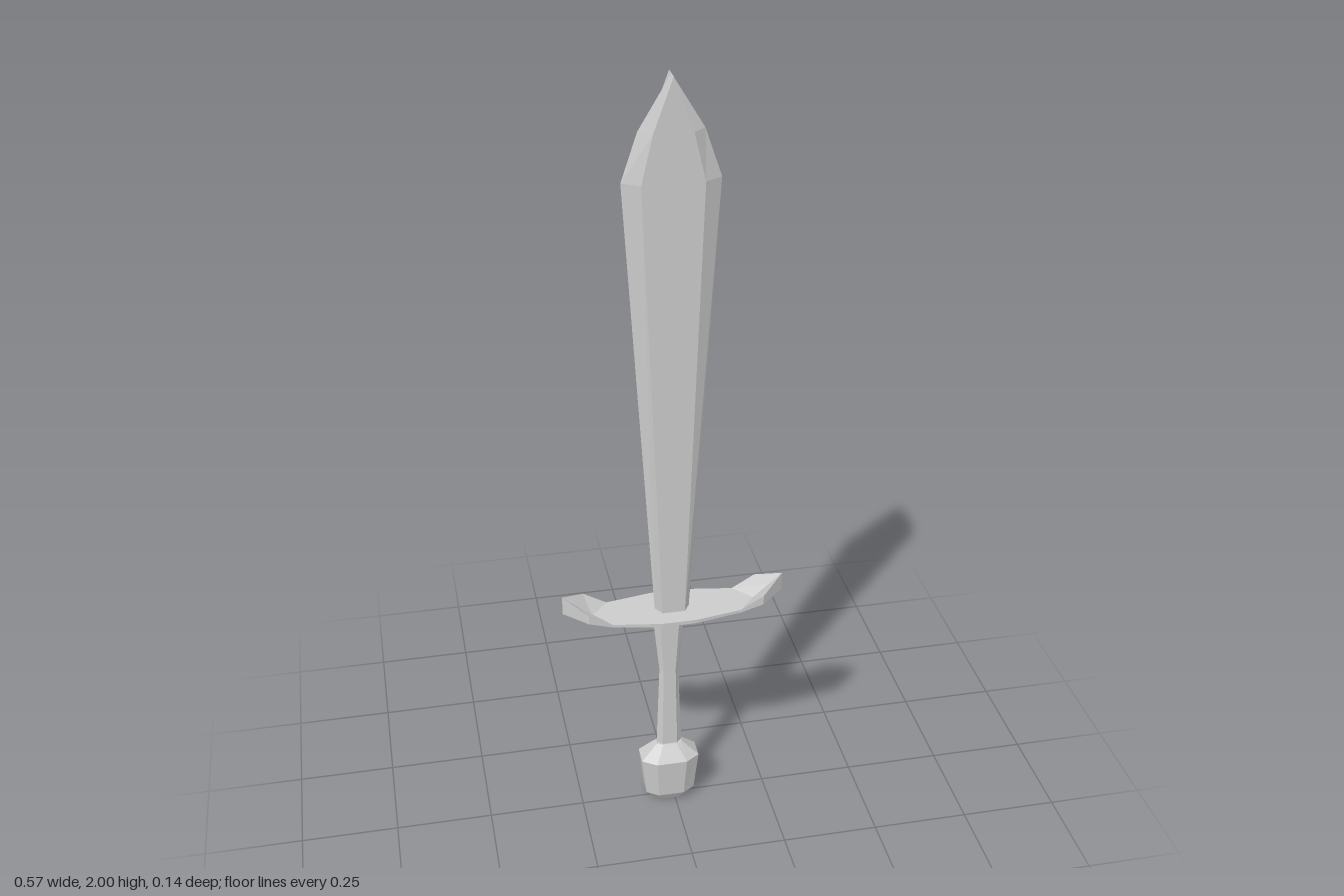
import * as THREE from 'three';

// Skins a list of rings (arrays of [x, y, z], counter-clockwise seen from the far end) and caps both ends.
function loft(name, rings) {
  const positions = [];
  const tri = (...corners) => {
    const [a, b, c] = corners.map((p) => new THREE.Vector3(...p));
    if (new THREE.Triangle(a, b, c).getArea() < 1e-7) return; // skip collapsed faces
    for (const p of corners) positions.push(...p);
  };
  const n = rings[0].length;
  for (let i = 0; i < rings.length - 1; i++) {
    for (let j = 0; j < n; j++) {
      const k = (j + 1) % n;
      tri(rings[i][j], rings[i][k], rings[i + 1][k]);
      tri(rings[i][j], rings[i + 1][k], rings[i + 1][j]);
    }
  }
  const first = rings[0], last = rings[rings.length - 1];
  for (let j = 1; j < n - 1; j++) {
    tri(first[0], first[j + 1], first[j]);
    tri(last[0], last[j], last[j + 1]);
  }
  const geometry = new THREE.BufferGeometry();
  geometry.setAttribute('position', new THREE.Float32BufferAttribute(positions, 3));
  geometry.computeVertexNormals();
  const mesh = new THREE.Mesh(geometry, new THREE.MeshStandardMaterial({ color: 0xcccccc, flatShading: true }));
  mesh.name = name;
  return mesh;
}

// Hexagon with its two sharp edges on the x axis
const hexRing = (cx, y, w, flat, d) => [
  [cx + w, y, 0], [cx + flat, y, -d], [cx - flat, y, -d],
  [cx - w, y, 0], [cx - flat, y, d], [cx + flat, y, d],
];

// Rectangle with chamfered corners
const octRing = (cx, y, w, d) => {
  const a = w * 0.52, b = d * 0.52;
  return [
    [cx + w, y, b], [cx + w, y, -b], [cx + a, y, -d], [cx - a, y, -d],
    [cx - w, y, -b], [cx - w, y, b], [cx - a, y, d], [cx + a, y, d],
  ];
};

// Guard section: x, half depth, top y, rim y, keel half depth, keel y, and x of the top centre
const guardRing = (s, [x, d, top, rim, kd, keel, cx]) => [
  [s * cx, top, 0], [s * x, top, d], [s * x, rim, d], [s * x, keel, kd],
  [s * x, keel, -kd], [s * x, rim, -d], [s * x, top, -d],
];

export function createModel() {
  const sword = new THREE.Group();
  sword.name = 'sword';

  // Blade: widens upward, then closes to a short edge at the tip
  sword.add(loft('blade', [
    [0.59, 0.043, 0.028], [1.76, 0.115, 0.073], [1.875, 0.076, 0.046], [2, 0, 0],
  ].map(([y, w, flat]) => hexRing(-0.004, y, w, flat, 0.026))));

  // Crossguard: flat plate with upswept pointed ends and a tapered underside
  const stations = [
    [0.285, 0, 0.68, 0.63, 0, 0.63, 0.285],
    [0.225, 0.051, 0.65, 0.625, 0.025, 0.616, 0.25],
    [0.165, 0.051, 0.615, 0.607, 0.028, 0.599, 0.21],
    [0.045, 0.071, 0.615, 0.605, 0.033, 0.58, 0.045],
  ];
  sword.add(loft('crossguard', [
    ...stations.map((s) => guardRing(-1, s)),
    ...stations.slice().reverse().map((s) => guardRing(1, s)),
  ]));

  // Grip: waisted, flaring into the guard
  sword.add(loft('grip', [
    [0.17, 0.034, 0.02, 0.014], [0.42, 0.025, 0.016, 0.012], [0.6, 0.043, 0.026, 0.015],
  ].map(([y, w, flat, d]) => hexRing(-0.012, y, w, flat, d))));

  // Pommel: faceted block with bevelled ends
  sword.add(loft('pommel', [
    [0, 0.04, 0.026], [0.027, 0.065, 0.042], [0.14, 0.077, 0.051], [0.18, 0.034, 0.018],
  ].map(([y, w, d]) => octRing(-0.013, y, w, d))));

  return sword;
}
